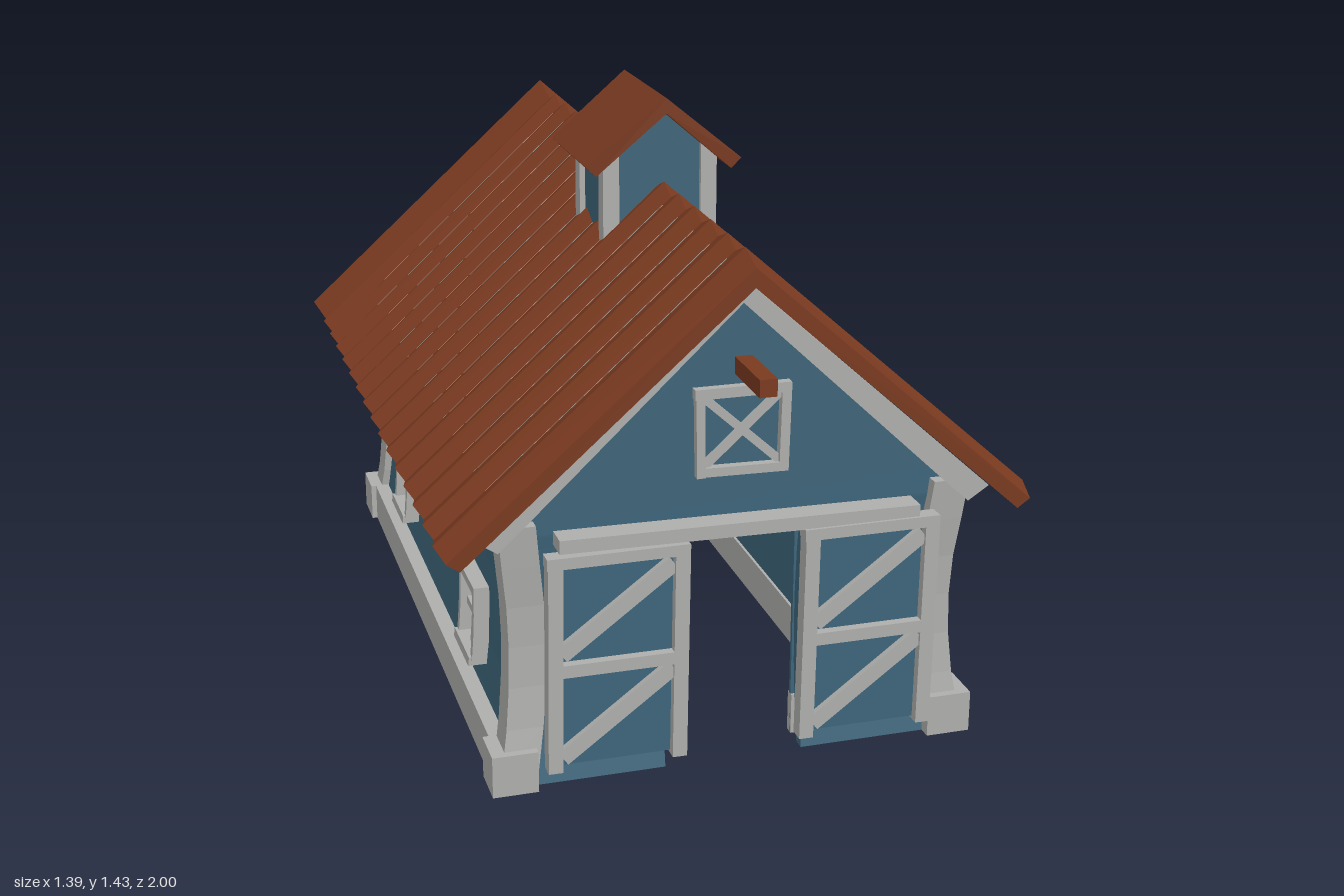
import * as THREE from 'three';

const material = (name, color) => {
  const m = new THREE.MeshStandardMaterial({ color });
  m.name = name;
  return m;
};

export function createModel() {
  const barn = new THREE.Group();
  barn.name = 'barn';
  const blue = material('blue boards', 0x3e657a);
  const grey = material('grey trim', 0xaeaeac);
  const brown = material('brown roof', 0x7a3a20);

  const add = (name, geometry, mat, parent = barn) => {
    const geo = geometry.index ? geometry.toNonIndexed() : geometry;
    geo.computeVertexNormals();
    const mesh = new THREE.Mesh(geo, mat);
    mesh.name = name;
    parent.add(mesh);
    return mesh;
  };
  const group = (name) => {
    const g = new THREE.Group();
    g.name = name;
    barn.add(g);
    return g;
  };

  // Walls are pinched at mid height and flare towards base and eaves
  const bow = (y) => (y > 0.6 ? 0 : 0.025 * (((y - 0.33) / 0.27) ** 2 - 1));

  // Box between two corners, optionally turned in its front plane, bent by bow
  const block = (name, mat, [x0, x1], [y0, y1], [z0, z1], sx = 0, sz = 0, turn = 0, parent = barn) => {
    const g = new THREE.BoxGeometry(x1 - x0, y1 - y0, z1 - z0, 1, sx || sz ? 6 : 1, 1);
    g.rotateZ(turn).translate((x0 + x1) / 2, (y0 + y1) / 2, (z0 + z1) / 2);
    const p = g.attributes.position;
    for (let i = 0; i < p.count; i++) {
      const b = bow(p.getY(i));
      p.setX(i, p.getX(i) + sx * b);
      p.setZ(i, p.getZ(i) + sz * b);
    }
    return add(name, g, mat, parent);
  };
  const span = (s, a, b) => (s > 0 ? [a, b] : [-b, -a]);

  const prism = (name, mat, points, z0, z1, parent = barn) => {
    const shape = new THREE.Shape(points.map(([x, y]) => new THREE.Vector2(x, y)));
    const g = new THREE.ExtrudeGeometry(shape, { depth: z1 - z0, bevelEnabled: false });
    return add(name, g.translate(0, 0, z0), mat, parent);
  };
  const mirrored = (points) => points.map(([x, y]) => [-x, y]);

  // Chevron roof lofted through six-point sections running from front to back
  const roof = (name, sections, parent = barn) => {
    const pos = [];
    const quad = (a, b, c, d) => pos.push(...a, ...b, ...c, ...a, ...c, ...d);
    for (let i = 0; i < sections.length - 1; i++) {
      const s = sections[i], t = sections[i + 1];
      for (let k = 0; k < 6; k++) {
        const n = (k + 1) % 6;
        quad(s[k], t[k], t[n], s[n]);
      }
    }
    const f = sections[0], e = sections[sections.length - 1];
    quad(f[0], f[1], f[4], f[5]);
    quad(f[1], f[2], f[3], f[4]);
    quad(e[5], e[4], e[1], e[0]);
    quad(e[4], e[3], e[2], e[1]);
    const g = new THREE.BufferGeometry();
    g.setAttribute('position', new THREE.Float32BufferAttribute(pos, 3));
    return add(name, g, brown, parent);
  };

  // Outer side walls and base boards
  for (const s of [1, -1]) {
    block('sideWall', blue, span(s, 0.5, 0.53), [0, 0.66], [-0.8, 0.79], s);
    block('sideBase', grey, span(s, 0.525, 0.562), [0, 0.1], [-0.8, 0.79]);
  }

  // Outer back wall
  block('backWall', blue, [-0.49, 0.49], [0, 0.61], [-0.85, -0.82], 0, -1);
  block('backBase', grey, [-0.48, 0.48], [0, 0.1], [-0.885, -0.845]);

  // Outer front wall around the open doorway
  for (const s of [1, -1]) {
    block('frontWall', blue, span(s, 0.165, 0.49), [0, 0.57], [0.805, 0.835], 0, 1);
  }
  block('doorHeader', blue, [-0.49, 0.49], [0.57, 0.61], [0.805, 0.835], 0, 1);

  // Gable ends
  const gable = [[-0.53, 0.61], [0.53, 0.61], [0.53, 0.67], [0, 1.15], [-0.53, 0.67]];
  prism('frontGable', blue, gable, 0.805, 0.835);
  prism('backGable', blue, gable, -0.85, -0.82);

  // Inner room, set in from the outer shell, with its own base boards
  const room = group('innerRoom');
  for (const s of [1, -1]) {
    block('roomSide', blue, span(s, 0.335, 0.345), [0, 0.8], [-0.65, 0.77], 0, 0, 0, room);
    block('roomSideBase', grey, span(s, 0.328, 0.352), [0, 0.1], [-0.657, 0.777], 0, 0, 0, room);
    block('roomFront', blue, span(s, 0.165, 0.345), [0, 0.57], [0.76, 0.77], 0, 0, 0, room);
    block('roomFrontBase', grey, span(s, 0.165, 0.345), [0, 0.1], [0.753, 0.777], 0, 0, 0, room);
  }
  block('roomBackBase', grey, [-0.345, 0.345], [0, 0.1], [-0.657, -0.633], 0, 0, 0, room);
  const roomTop = [[0.345, 0.8], [0, 1.11], [-0.345, 0.8]];
  prism('roomBack', blue, [[-0.345, 0], [0.345, 0], ...roomTop], -0.65, -0.64, room);
  prism('roomFrontTop', blue, [[-0.345, 0.57], [0.345, 0.57], ...roomTop], 0.76, 0.77, room);

  // Corner posts on square feet
  for (const s of [1, -1]) {
    for (const f of [1, -1]) {
      const z = f > 0 ? [0.785, 0.865] : [-0.875, -0.795];
      const foot = f > 0 ? [0.775, 0.878] : [-0.9, -0.785];
      block('cornerPost', grey, span(s, 0.465, 0.55), [0.05, 0.64], z, s, f);
      block('postFoot', grey, span(s, 0.47, 0.576), [0, 0.1], foot);
    }
  }

  // Rafters, forming the gable trim and the plate under the eaves
  const rafter = [[0, 1.158], [0.6, 0.618], [0.55, 0.585], [0.49, 0.64], [0, 1.105]];
  prism('rafterLeft', grey, rafter, -0.875, 0.865);
  prism('rafterRight', grey, mirrored(rafter), -0.875, 0.865);

  // Thin underlay that just shows in the valleys of one roof side
  const underlay = [[-0.02, 1.188], [-0.56, 0.7043], [-0.56, 0.6943], [-0.02, 1.178]];
  prism('roofUnderlay', grey, underlay, -0.8, 0.81);

  // Corrugated main roof
  const waves = [[0.942, 0]];
  for (let k = 0; k < 15; k++) waves.push([0.868 - 0.12 * k, 1], [0.803 - 0.12 * k, 0]);
  waves.push([-1, 1.2]);
  roof('corrugatedRoof', waves.map(([z, h]) => {
    const e = z * 0.982;
    const ex = 0.675 + 0.015 * h, ey = 0.601 + 0.015 * h;
    const ix = 0.645 + 0.015 * h, iy = 0.58 + 0.013 * h;
    return [[ex, ey, e], [0, 1.205 + 0.025 * h, z], [-ex, ey, e],
      [-ix, iy, e], [0, 1.16 + 0.025 * h, z], [ix, iy, e]];
  }));

  // Cupola on the ridge
  const cupola = group('cupola');
  prism('cupolaBody', blue,
    [[-0.128, 1.03], [0.128, 1.03], [0.128, 1.288], [0, 1.4], [-0.128, 1.288]], -0.018, 0.222, cupola);
  const cupolaPost = [[0.102, 1.03], [0.142, 1.03], [0.142, 1.28], [0.102, 1.315]];
  for (const [z0, z1] of [[-0.03, 0.012], [0.193, 0.235]]) {
    prism('cupolaPost', grey, cupolaPost, z0, z1, cupola);
    prism('cupolaPost', grey, mirrored(cupolaPost), z0, z1, cupola);
  }
  roof('cupolaRoof', [[0.285, 0.268], [-0.083, -0.066]].map(([z, e]) => [
    [0.193, 1.277, e], [0, 1.435, z], [-0.193, 1.277, e],
    [-0.168, 1.252, e], [0, 1.398, z], [0.168, 1.252, e]]), cupola);

  // Hoist beam
  block('hoistBeam', brown, [-0.008, 0.032], [0.935, 0.975], [0.8, 1]);

  // Loft hatch with crossed braces
  const hatch = group('loftHatch');
  const hz = [0.83, 0.855];
  block('hatchSide', grey, [-0.1, -0.08], [0.705, 0.91], hz, 0, 0, 0.02, hatch);
  block('hatchSide', grey, [0.095, 0.117], [0.705, 0.91], hz, 0, 0, -0.02, hatch);
  block('hatchSill', grey, [-0.098, 0.115], [0.705, 0.726], hz, 0, 0, -0.02, hatch);
  block('hatchTop', grey, [-0.104, 0.118], [0.888, 0.912], hz, 0, 0, 0, hatch);
  for (const s of [1, -1]) {
    block('hatchBrace', grey, [-0.122, 0.138], [0.798, 0.817], [0.83, 0.847], 0, 0, s * 0.74, hatch);
  }

  // Flat sliding doors hung in front of the wall, and their rail
  block('doorRail', grey, [-0.42, 0.42], [0.574, 0.606], [0.83, 0.893], 0, 0, -0.013);
  for (const [name, x0, x1] of [['rightDoor', -0.45, -0.127], ['leftDoor', 0.143, 0.465]]) {
    const door = group(name);
    const z = [0.862, 0.9];
    block('doorPanel', blue, [x0 + 0.01, x1 - 0.01], [0.06, 0.56], [0.862, 0.878], 0, 0, 0, door);
    block('doorStile', grey, [x0, x0 + 0.034], [0.052, 0.572], z, 0, 0, -0.01, door);
    block('doorStile', grey, [x1 - 0.034, x1], [0.052, 0.572], z, 0, 0, -0.01, door);
    block('doorTop', grey, [x0, x1], [0.546, 0.573], z, 0, 0, 0, door);
    block('doorMiddle', grey, [x0 + 0.02, x1 - 0.02], [0.285, 0.315], z, 0, 0, 0, door);
    const c = (x0 + x1) / 2;
    for (const y of [0.178, 0.432]) {
      block('doorBrace', grey, [c - 0.16, c + 0.16], [y - 0.019, y + 0.019], [0.865, 0.893], 0, 0, 0.64, door);
    }
  }

  // Four-pane side windows
  for (const s of [1, -1]) {
    for (const z of [0.46, -0.425]) {
      const win = group('sideWindow');
      const x = span(s, 0.52, 0.568), thin = span(s, 0.52, 0.552);
      for (const d of [-1, 1]) {
        block('windowJamb', grey, x, [0.165, 0.355], [z + d * 0.077 - 0.01, z + d * 0.077 + 0.01], s, 0, 0, win);
      }
      block('windowSill', grey, span(s, 0.52, 0.575), [0.163, 0.184], [z - 0.085, z + 0.085], s, 0, 0, win);
      block('windowHead', grey, x, [0.34, 0.362], [z - 0.09, z + 0.09], s, 0, 0, win);
      block('windowMullion', grey, thin, [0.17, 0.35], [z - 0.009, z + 0.009], s, 0, 0, win);
      block('windowBar', grey, thin, [0.255, 0.273], [z - 0.08, z + 0.08], s, 0, 0, win);
    }
  }
  return barn;
}
